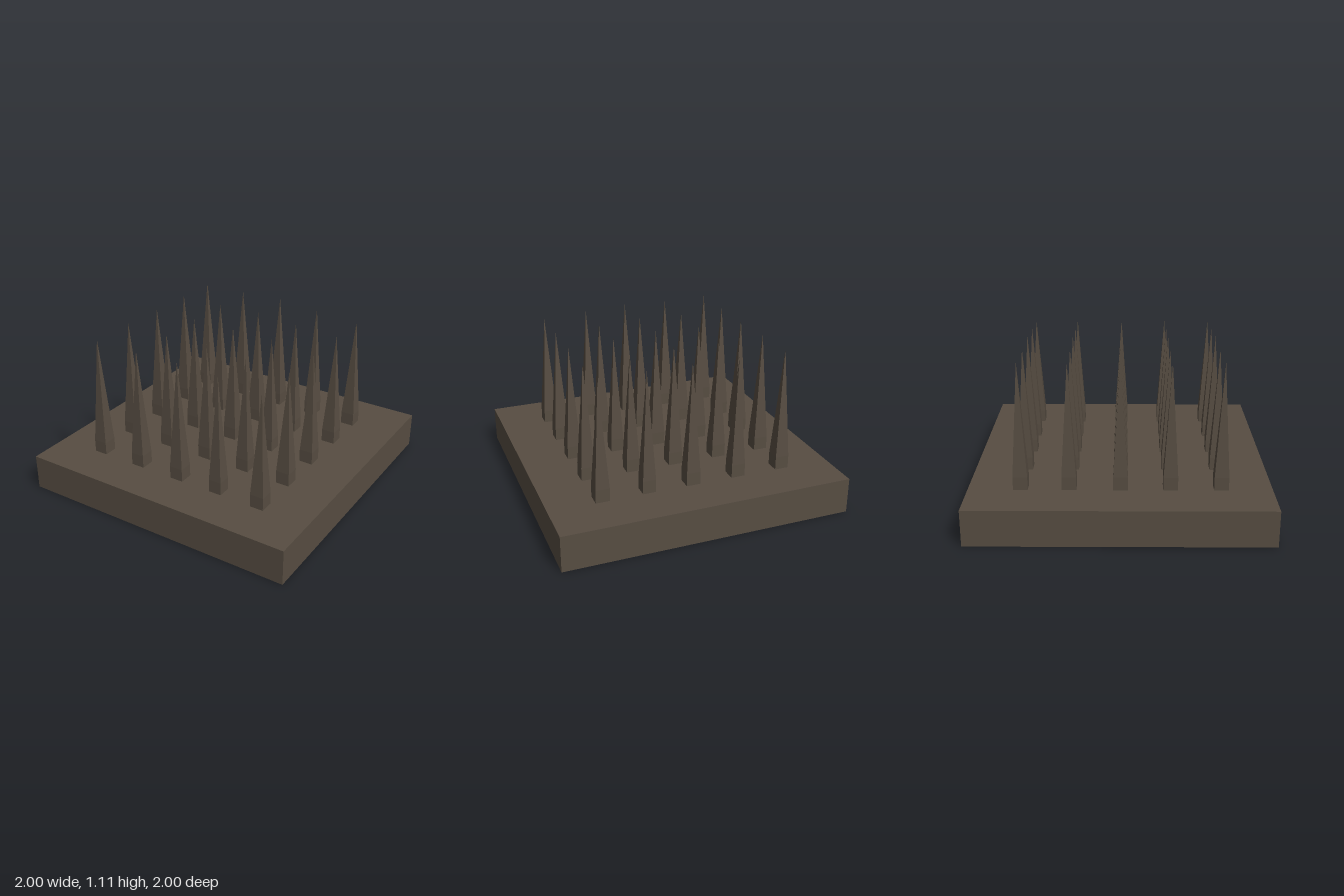
import * as THREE from 'three';

export function createModel() {
  const model = new THREE.Group();
  model.name = 'spikeTrap';

  const darkBrown = new THREE.MeshStandardMaterial({ color: 0x574d42, flatShading: true, side: THREE.DoubleSide });
  darkBrown.name = 'darkBrown';

  // Slab: a thin-walled box, open underneath
  const baseHeight = 0.25;
  const slab = new THREE.BoxGeometry(2, baseHeight, 2);
  const index = Array.from(slab.index.array);
  index.splice(18, 6); // drop the bottom face
  slab.setIndex(index);
  slab.clearGroups();
  const base = new THREE.Mesh(slab, darkBrown);
  base.name = 'base';
  base.position.y = baseHeight / 2;
  model.add(base);

  // Square spike: short straight shaft, then a long taper to a point
  const spikeGeometry = (width, height) => {
    const r = width / Math.SQRT2;
    const profile = [[r, 0], [r, 0.09], [0, height]].map(([x, y]) => new THREE.Vector2(x, y));
    return new THREE.LatheGeometry(profile, 4, Math.PI / 4);
  };

  // Slightly uneven grid of spikes; each column has its own height
  const columns = [
    { x: -0.648, top: 1.105, width: 0.096 },
    { x: -0.318, top: 1.1, width: 0.096 },
    { x: 0.008, top: 1.105, width: 0.096 },
    { x: 0.317, top: 1.09, width: 0.09 },
    { x: 0.636, top: 1.06, width: 0.096 },
  ];
  const rows = [-0.653, -0.335, 0.002, 0.33, 0.662];
  const spikes = new THREE.Group();
  spikes.name = 'spikes';
  for (const { x, top, width } of columns) {
    const geometry = spikeGeometry(width, top - baseHeight);
    for (const z of rows) {
      const spike = new THREE.Mesh(geometry, darkBrown);
      spike.name = 'spike';
      spike.position.set(x, baseHeight, z);
      spikes.add(spike);
    }
  }
  model.add(spikes);

  return model;
}
